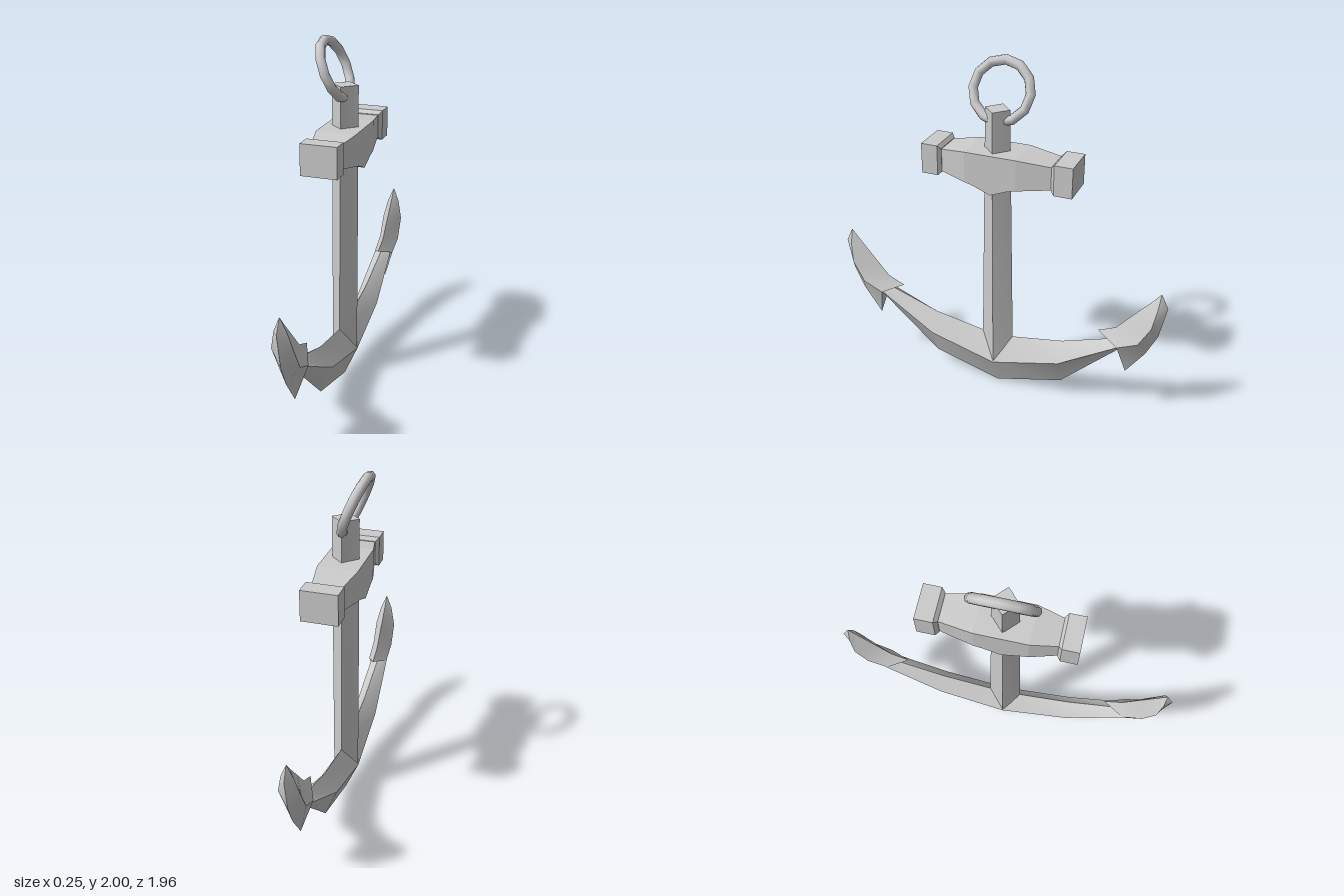
import * as THREE from 'three';
import { toCreasedNormals } from 'three/addons/utils/BufferGeometryUtils.js';

const CX = 0.012;
const material = new THREE.MeshStandardMaterial({ color: 0xcccccc });

// Skins a row of equal-length cross-section loops and caps both ends.
function loft(name, sections, crease) {
  const n = sections[0].length;
  const points = sections.flat();
  const tris = [];
  for (let s = 0; s < sections.length - 1; s++) {
    for (let i = 0; i < n; i++) {
      const a = s * n + i, b = s * n + (i + 1) % n;
      tris.push([a, b, b + n], [a, b + n, a + n]);
    }
  }
  const last = (sections.length - 1) * n;
  for (let i = 1; i < n - 1; i++) {
    tris.push([0, i + 1, i], [last, last + i, last + i + 1]);
  }
  // Turn every face outward, whichever way the loops run.
  const v = points.map((p) => new THREE.Vector3(...p));
  const volume = tris.reduce((sum, [a, b, c]) => sum + v[a].dot(v[b].clone().cross(v[c])), 0);
  if (volume < 0) tris.forEach((t) => t.reverse());

  const geometry = new THREE.BufferGeometry();
  geometry.setAttribute('position', new THREE.Float32BufferAttribute(points.flat(), 3));
  geometry.setIndex(tris.flat());
  const mesh = new THREE.Mesh(toCreasedNormals(geometry, crease), material);
  mesh.name = name;
  return mesh;
}

// Rectangular section across z.
const rect = (z, hx, y0, y1) => [
  [CX - hx, y0, z], [CX + hx, y0, z], [CX + hx, y1, z], [CX - hx, y1, z],
];

// Diamond section of the shank at height y.
const shankSection = (y, hz) => [[CX + 0.075, y, 0], [CX, y, hz], [CX - 0.075, y, 0], [CX, y, -hz]];

// Diamond section of the arms: keel, side ridges and top edge.
const armSection = (z, hx, keel, side, top) => [
  [CX, keel, z], [CX + hx, side, z], [CX, top, z], [CX - hx, side, z],
];

function createFluke(s) {
  const x = 0.02;
  // ridge half width, then (z, y) of ridge, outer edge and inner edge
  const stations = [
    [0.058, 0.735, 0.485, 0.78, 0.30, 0.61, 0.535],
    [0.061, 0.85, 0.54, 0.885, 0.45, 0.71, 0.58],
    [0.06, 0.915, 0.66, 0.945, 0.58, 0.80, 0.685],
    [0.035, 0.935, 0.77, 0.982, 0.77, 0.90, 0.80],
    [0.001, 0.941, 0.85, 0.945, 0.845, 0.94, 0.85],
  ];
  return loft(s > 0 ? 'frontFluke' : 'backFluke', stations.map(([w, rz, ry, oz, oy, iz, iy]) => [
    [x + w, ry, s * rz], [x, oy, s * oz], [x - w, ry, s * rz], [x, iy, s * iz],
  ]), 0.6);
}

export function createModel() {
  const anchor = new THREE.Group();
  anchor.name = 'anchor';

  // Tapered diamond shank
  anchor.add(loft('shank', [
    shankSection(0.17, 0.1), shankSection(0.34, 0.095), shankSection(1.75, 0.07),
  ], 0.4));

  // Curved arms in one sweep
  anchor.add(loft('arms', [
    armSection(-0.75, 0.05, 0.45, 0.485, 0.515),
    armSection(-0.4, 0.07, 0.11, 0.28, 0.395),
    armSection(0, 0.078, 0, 0.18, 0.325),
    armSection(0.4, 0.07, 0.11, 0.28, 0.395),
    armSection(0.75, 0.05, 0.45, 0.485, 0.515),
  ], 0.7));

  // Barbed flukes
  for (const s of [1, -1]) anchor.add(createFluke(s));

  // Cross stock: swelling beam with a chamfered block at each end
  const stock = new THREE.Group();
  stock.name = 'stock';
  stock.add(loft('stockBeam', [
    rect(-0.34, 0.077, 1.38, 1.505), rect(-0.145, 0.111, 1.353, 1.526),
    rect(-0.1, 0.111, 1.342, 1.526), rect(0, 0.111, 1.302, 1.526),
    rect(0.1, 0.111, 1.342, 1.526), rect(0.145, 0.111, 1.353, 1.526),
    rect(0.3, 0.077, 1.38, 1.505),
  ], 0.1));
  for (const [name, s, inner, shoulder, outer] of [
    ['frontStockEnd', 1, 0.29, 0.307, 0.4], ['backStockEnd', -1, 0.33, 0.35, 0.45],
  ]) {
    stock.add(loft(name, [
      rect(s * inner, 0.082, 1.376, 1.51), rect(s * shoulder, 0.1, 1.36, 1.53),
      rect(s * outer, 0.1, 1.36, 1.53),
    ], 0.1));
  }
  anchor.add(stock);

  // Tilted ring through the top of the shank
  const ring = new THREE.Mesh(new THREE.TorusGeometry(0.16, 0.027, 8, 12), material);
  ring.geometry.rotateY(Math.PI / 2).rotateZ(0.39);
  ring.position.set(-0.042, 1.827, 0);
  ring.name = 'ring';
  anchor.add(ring);

  return anchor;
}
